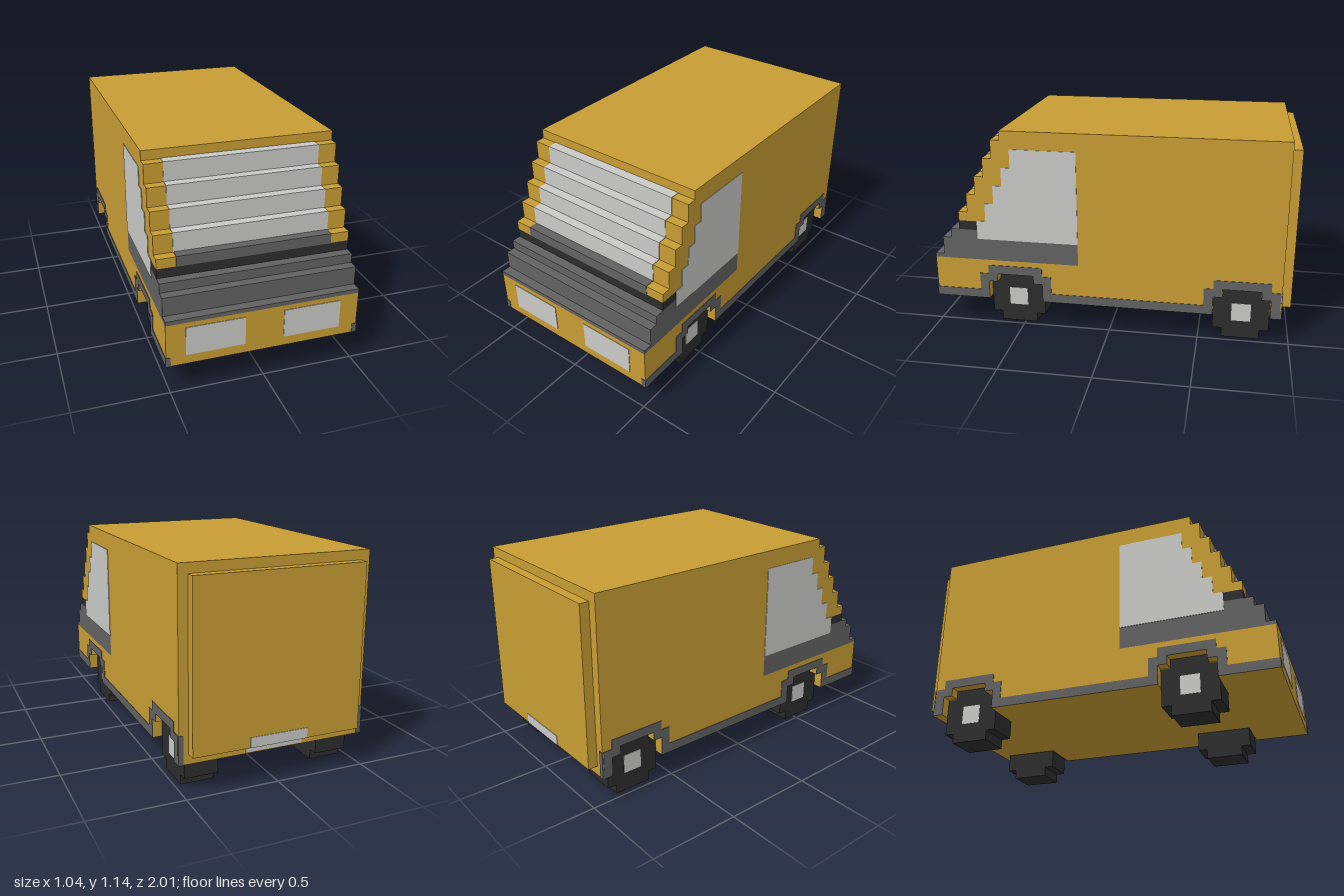
import * as THREE from 'three';

export function createModel() {
  const van = new THREE.Group();
  const mat = (name, color) => {
    const m = new THREE.MeshStandardMaterial({ color });
    m.name = name;
    return m;
  };
  const gold = mat('gold paint', 0xc79c33);
  const light = mat('pale glass', 0xc9c9c7);
  const grey = mat('grey trim', 0x626262);
  const black = mat('black rubber', 0x2d2d2d);

  const W = 0.518;      // half width of the body
  const BACK = -0.948;  // rear face of the body
  const PAINT = 0.003;  // thickness of painted plates

  // Extrudes a [z, y] outline across the width, from x0 to x1
  function slab(name, outline, x0, x1, material) {
    const shape = new THREE.Shape(outline.map(p => new THREE.Vector2(p[0], p[1])));
    const geo = new THREE.ExtrudeGeometry(shape, { depth: x1 - x0, bevelEnabled: false });
    geo.rotateY(-Math.PI / 2).translate(x1, 0, 0);
    const mesh = new THREE.Mesh(geo, material);
    mesh.name = name;
    van.add(mesh);
  }
  // Box given by its limits
  function box(name, x0, x1, y0, y1, z0, z1, material) {
    const mesh = new THREE.Mesh(new THREE.BoxGeometry(x1 - x0, y1 - y0, z1 - z0), material);
    mesh.position.set((x0 + x1) / 2, (y0 + y1) / 2, (z0 + z1) / 2);
    mesh.name = name;
    van.add(mesh);
  }
  // The same slab on the left and right sides
  function sideSlabs(name, outline, inner, outer, material) {
    slab(name + 'Left', outline, inner, outer, material);
    slab(name + 'Right', outline, -outer, -inner, material);
  }
  // Staircase climbing backwards from the front, as [z, y] points
  function stairs(z, y, dz, dy, count) {
    const pts = [];
    for (let i = 0; i < count; i++) {
      pts.push([z - i * dz, y + (i ? (i - 1) * dy : 0)]);
      pts.push([z - i * dz, y + i * dy]);
    }
    return pts;
  }

  // Lower body: solid core, with outer skins cut away at the wheels
  const axles = [-0.735, 0.535];
  const opening = c => [
    [c - 0.156, 0.158], [c - 0.156, 0.265], [c - 0.105, 0.265], [c - 0.105, 0.313],
    [c + 0.105, 0.313], [c + 0.105, 0.265], [c + 0.156, 0.265], [c + 0.156, 0.158],
  ];
  const arch = c => [
    [c + 0.207, 0.21], [c + 0.207, 0.312], [c + 0.156, 0.312], [c + 0.156, 0.364],
    [c - 0.156, 0.364], [c - 0.156, 0.312], [c - 0.207, 0.312], [c - 0.207, 0.21],
  ];
  const bottomEdge = [[BACK, 0.158], ...axles.flatMap(opening), [1, 0.158]];
  box('lowerBody', -0.463, 0.463, 0.158, 0.395, BACK, 1, gold);
  sideSlabs('lowerSide', [...bottomEdge, [1, 0.395], [BACK, 0.395]], 0.463, W, gold);

  // Grey sills with wheel arches, wrapping a little round the corners
  const sill = [...bottomEdge, [1, 0.21], ...arch(axles[1]), ...arch(axles[0]), [BACK, 0.21]];
  sideSlabs('sill', sill, W, W + PAINT, grey);
  for (const s of [-1, 1]) {
    const xa = Math.min(s * 0.495, s * (W + PAINT)), xb = Math.max(s * 0.495, s * (W + PAINT));
    box('frontSillCorner', xa, xb, 0.158, 0.21, 0.999, 1 + PAINT, grey);
    box('rearSillCorner', xa, xb, 0.158, 0.312, BACK - PAINT, BACK + 0.001, grey);
  }

  // Upper body with the stepped front
  const upper = [
    [BACK, 0.395], [0.17, 0.395], [0.17, 0.52], [0.742, 0.52], [0.742, 0.624], [0.846, 0.624],
    ...stairs(0.846, 0.677, 0.052, 0.104, 5).slice(1),
    [0.586, 1.093], [0.586, 1.145], [BACK, 1.145],
  ];
  slab('upperBody', upper, -W, W, gold);

  // Stepped grey hood running back along the doors, and the black band above
  slab('hood', [
    [0.17, 0.395], [1, 0.395], [1, 0.418], [0.948, 0.418], [0.948, 0.52], [0.898, 0.52],
    [0.898, 0.572], [0.742, 0.572], [0.742, 0.52], [0.17, 0.52],
  ], -W, W, grey);
  box('hoodBand', -W, W, 0.572, 0.624, 0.742, 0.846, black);

  // Windscreen following the steps, with a grey strip under it
  box('windscreenBase', -0.416, 0.416, 0.624, 0.677 + PAINT, 0.75, 0.846 + PAINT, grey);
  slab('windscreen', [
    [0.56, 0.677], [0.794 + PAINT, 0.677],
    ...stairs(0.794 + PAINT, 0.781 + PAINT, 0.052, 0.104, 4),
    [0.586, 1.093 + PAINT], [0.56, 1.093 + PAINT],
  ], -0.418, 0.418, light);

  // Side windows with a stepped front edge
  sideSlabs('sideWindow', [
    [0.17, 0.52], [0.742, 0.52],
    ...stairs(0.742, 0.627, 0.052, 0.1045, 5), [0.17, 1.045],
  ], W, W + PAINT, light);

  // Headlights
  for (const x of [-0.416, 0.104]) {
    box('headlight', x, x + 0.312, 0.21, 0.368, 0.999, 1 + PAINT, light);
  }

  // Rear door panel and the plate across its lower edge
  box('rearDoor', -0.467, 0.467, 0.21, 1.093, -1, BACK, gold);
  box('rearPlateUpper', -0.16, 0.16, 0.21, 0.265, -1 - PAINT, -0.999, light);
  box('rearPlateLower', -0.16, 0.16, 0.165, 0.21, BACK - PAINT, BACK + 0.001, light);

  // Blocky wheels with square hubs
  for (const c of axles) {
    sideSlabs('wheel', [
      [c - 0.104, 0], [c + 0.104, 0], [c + 0.104, 0.054], [c + 0.155, 0.054],
      [c + 0.155, 0.26], [c + 0.104, 0.26], [c + 0.104, 0.311], [c - 0.104, 0.311],
      [c - 0.104, 0.26], [c - 0.155, 0.26], [c - 0.155, 0.054], [c - 0.104, 0.054],
    ], 0.285, 0.467, black);
    sideSlabs('hub', [
      [c - 0.053, 0.105], [c + 0.053, 0.105], [c + 0.053, 0.21], [c - 0.053, 0.21],
    ], 0.467, 0.467 + PAINT, light);
  }
  return van;
}
